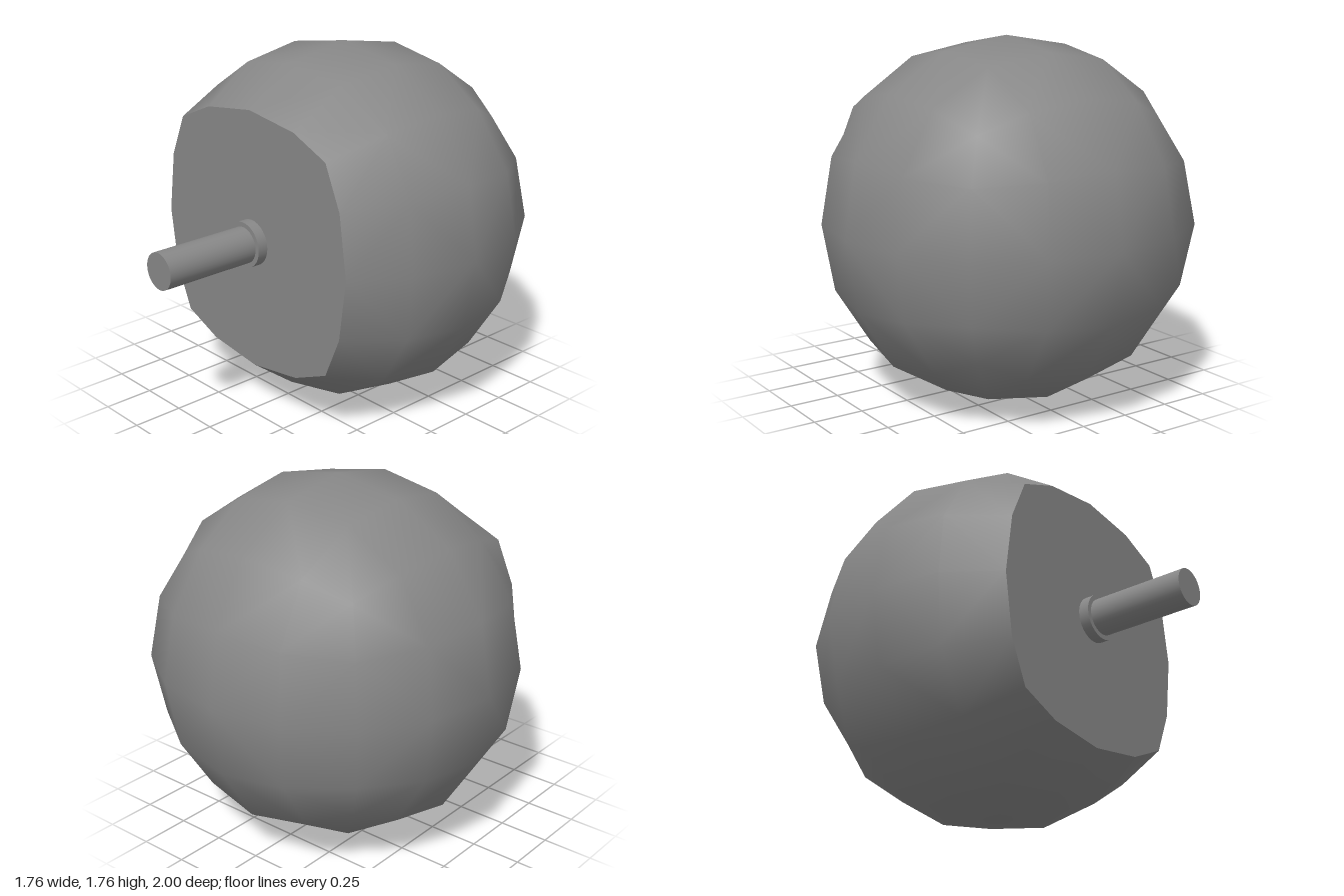
import * as THREE from 'three';
import { mergeVertices } from 'three/addons/utils/BufferGeometryUtils.js';

const CENTER_Y = 0.878, CENTER_Z = -0.122, FRONT = 0.587;

// Rounded position of each cube grid point, keyed by its sorted absolute steps;
// values are ordered from the largest step to the smallest.
const ROUNDED = {
  '200': [0.878, 0, 0],
  '210': [0.82, 0.35, 0],
  '211': [0.77, 0.325, 0.325],
  '220': [0.642, 0.642, 0],
  '221': [0.6, 0.6, 0.302],
  '222': [0.51, 0.51, 0.51],
};

function roundPoint(p) {
  const axes = [0, 1, 2].sort((a, b) => Math.abs(p[b]) - Math.abs(p[a]));
  const key = axes.map((a) => Math.abs(p[a])).join('');
  const out = [0, 0, 0];
  axes.forEach((a, i) => { out[a] = Math.sign(p[a]) * ROUNDED[key][i]; });
  if (p[2] === 2) out[2] = FRONT; // flat cut at the front
  return out;
}

function domeGeometry() {
  const box = new THREE.BoxGeometry(4, 4, 4, 4, 4, 4);
  const pos = box.attributes.position;
  const points = [];
  for (let i = 0; i < pos.count; i++) {
    const p = [pos.getX(i), pos.getY(i), pos.getZ(i)].map(Math.round);
    points.push(new THREE.Vector3(...roundPoint(p)));
    pos.setXYZ(i, ...points[i].toArray());
  }
  // Leave the front side open for the flat panel
  const front = box.groups[4];
  const quads = Array.from(box.index.array);
  quads.splice(front.start, front.count);
  // Split each quad along its shorter diagonal, so all sides match
  const index = [];
  for (let i = 0; i < quads.length; i += 6) {
    const [a, b, d, , c] = quads.slice(i, i + 6);
    const acShorter = points[a].distanceTo(points[c]) < points[b].distanceTo(points[d]);
    index.push(...(acShorter ? [a, b, c, a, c, d] : [a, b, d, b, c, d]));
  }
  box.setIndex(index);
  box.clearGroups();
  box.deleteAttribute('uv');
  box.deleteAttribute('normal');
  const geometry = mergeVertices(box.toNonIndexed(), 1e-4);
  geometry.computeVertexNormals();
  return geometry;
}

// Flat panel closing the cut, following the rim of the dome
function panelGeometry() {
  const side = [-2, -1, 0, 1].map((s) => roundPoint([2, s, 2]));
  const outline = [];
  for (let k = 0; k < 4; k++) {
    for (const [x, y] of side) {
      outline.push(new THREE.Vector2(x, y).rotateAround(new THREE.Vector2(), k * Math.PI / 2));
    }
  }
  return new THREE.ShapeGeometry(new THREE.Shape(outline));
}

export function createModel() {
  const model = new THREE.Group();
  model.name = 'roundKnob';
  const material = new THREE.MeshStandardMaterial({ color: 0x878787 });

  function add(name, geometry, z) {
    const mesh = new THREE.Mesh(geometry, material);
    mesh.name = name;
    mesh.position.set(0, CENTER_Y, z);
    model.add(mesh);
  }
  function addRod(name, radius, z0, z1) {
    const rod = new THREE.CylinderGeometry(radius, radius, z1 - z0, 32).rotateX(Math.PI / 2);
    add(name, rod, (z0 + z1) / 2);
  }

  add('dome', domeGeometry(), CENTER_Z);
  add('frontPanel', panelGeometry(), CENTER_Z + FRONT);

  // Mounting collar and shaft
  addRod('collar', 0.112, CENTER_Z + FRONT, 0.517);
  addRod('shaft', 0.089, CENTER_Z + FRONT, 1);

  return model;
}
